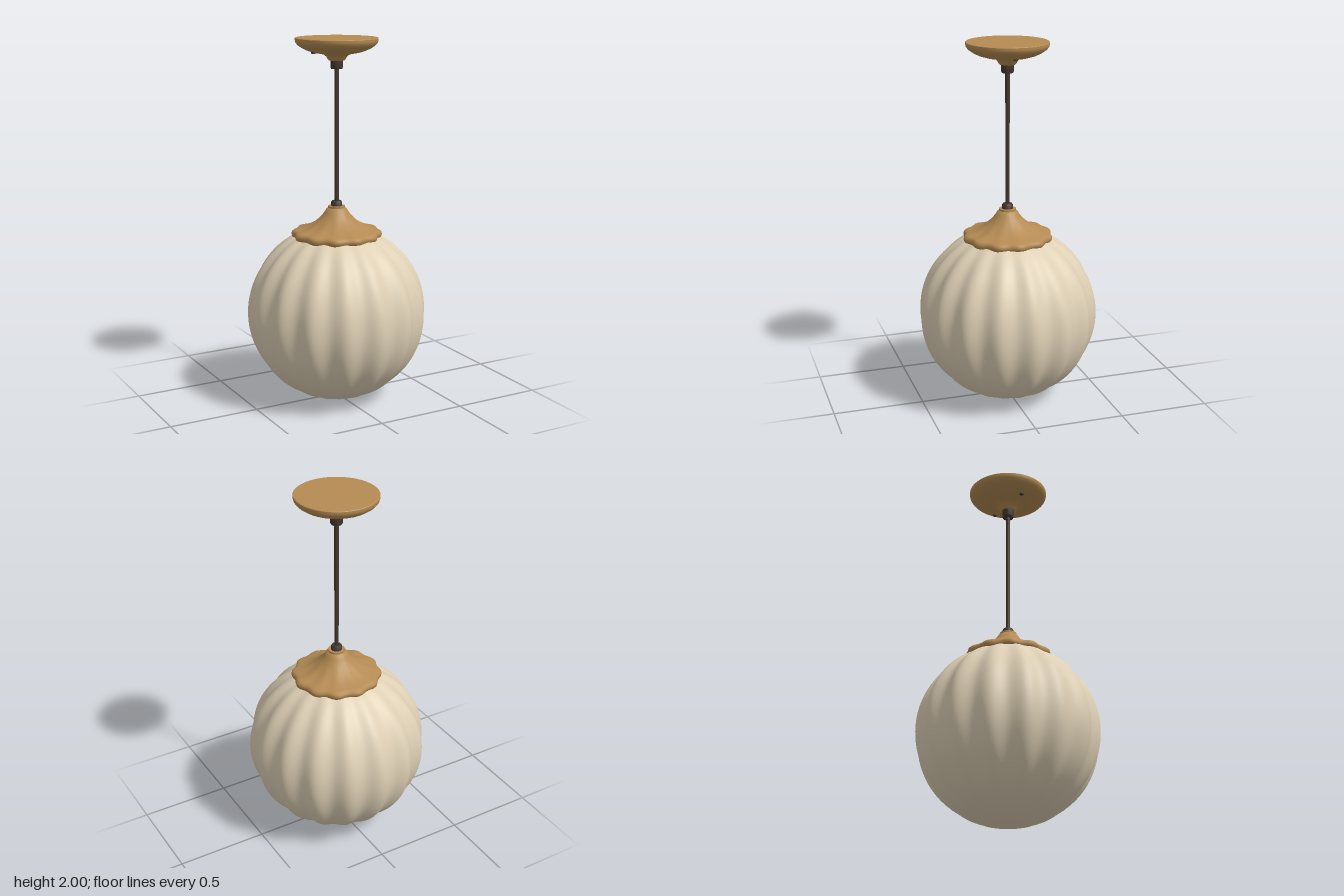
import * as THREE from 'three';
import { mergeVertices, toCreasedNormals } from 'three/addons/utils/BufferGeometryUtils.js';

const material = (name, color) => {
  const m = new THREE.MeshStandardMaterial({ color });
  m.name = name;
  return m;
};

// Lathe with profile points listed from bottom to top; flutes are added by scaling the radius.
function turned(profile, segments, lobes = 0, depth = () => 0, crease = 0.7) {
  let geo = new THREE.LatheGeometry(profile.map(([r, y]) => new THREE.Vector2(r, y)), segments);
  const p = geo.attributes.position;
  for (let i = 0; i < p.count; i++) {
    const x = p.getX(i), y = p.getY(i), z = p.getZ(i);
    const k = 1 + depth(Math.hypot(x, z), y) * (Math.cos(lobes * Math.atan2(x, z)) - 1);
    p.setXYZ(i, x * k, y, z * k);
  }
  geo.deleteAttribute('normal');
  geo.deleteAttribute('uv');
  geo = mergeVertices(geo, 1e-5);
  geo.computeVertexNormals();
  return crease ? toCreasedNormals(geo, crease) : geo;
}

export function createModel() {
  const group = new THREE.Group();
  const glass = material('cream glass', 0xded0b5);
  const brass = material('aged brass', 0xb58b53);
  const dark = material('dark bronze', 0x43382f);
  const add = (name, geo, mat, x = 0, y = 0, z = 0) => {
    const mesh = new THREE.Mesh(geo, mat);
    mesh.name = name;
    mesh.position.set(x, y, z);
    group.add(mesh);
    return mesh;
  };

  // Globe with sixteen soft ribs that fade towards the bottom pole
  const globe = [];
  for (let i = 0; i <= 48; i++) {
    const a = (i / 48) * 2.66;
    globe.push([0.494 * Math.sin(a), 0.49 - 0.49 * Math.cos(a)]);
  }
  globe[0][0] = 0;
  add('globeShade', turned(globe, 192, 16, (r) => 0.026 * Math.min(1, r / 0.35), 0), glass);

  // Scalloped holder with twelve flutes, closed underneath
  const holder = [
    [0, 0.92], [0.19, 0.92], [0.215, 0.91], [0.235, 0.91], [0.245, 0.92], [0.249, 0.932],
    [0.246, 0.945], [0.236, 0.954], [0.22, 0.957], [0.185, 0.967], [0.155, 0.979], [0.125, 0.997],
    [0.1, 1.017], [0.08, 1.037], [0.066, 1.056], [0.056, 1.073], [0.046, 1.08], [0.046, 1.09], [0, 1.09],
  ];
  add('shadeHolder', turned(holder, 144, 12,
    (r) => 0.028 * THREE.MathUtils.smoothstep(r, 0.06, 0.2)), brass);

  // Stem and its two collars
  add('stem', new THREE.CylinderGeometry(0.012, 0.012, 0.8, 24), dark, 0, 1.47, 0);
  add('lowerCollar', turned([[0, 1.08], [0.03, 1.08], [0.03, 1.11], [0.025, 1.118], [0, 1.118]], 24), dark);
  add('upperCollar', turned([[0, 1.835], [0.03, 1.835], [0.033, 1.842], [0.033, 1.885], [0, 1.885]], 24), dark);

  // Ceiling canopy
  add('canopy', turned([
    [0, 1.88], [0.042, 1.88], [0.048, 1.887], [0.056, 1.9], [0.068, 1.91], [0.09, 1.916], [0.125, 1.922],
    [0.155, 1.931], [0.185, 1.945], [0.207, 1.96], [0.219, 1.974], [0.222, 1.985], [0.222, 1.997],
    [0.219, 2], [0, 2],
  ], 72), brass);

  // Mounting screws under the canopy
  for (const side of [-1, 1]) {
    add(side > 0 ? 'leftScrew' : 'rightScrew',
      new THREE.CylinderGeometry(0.011, 0.011, 0.02, 16), dark, side * 0.14, 1.93, 0);
  }
  return group;
}
